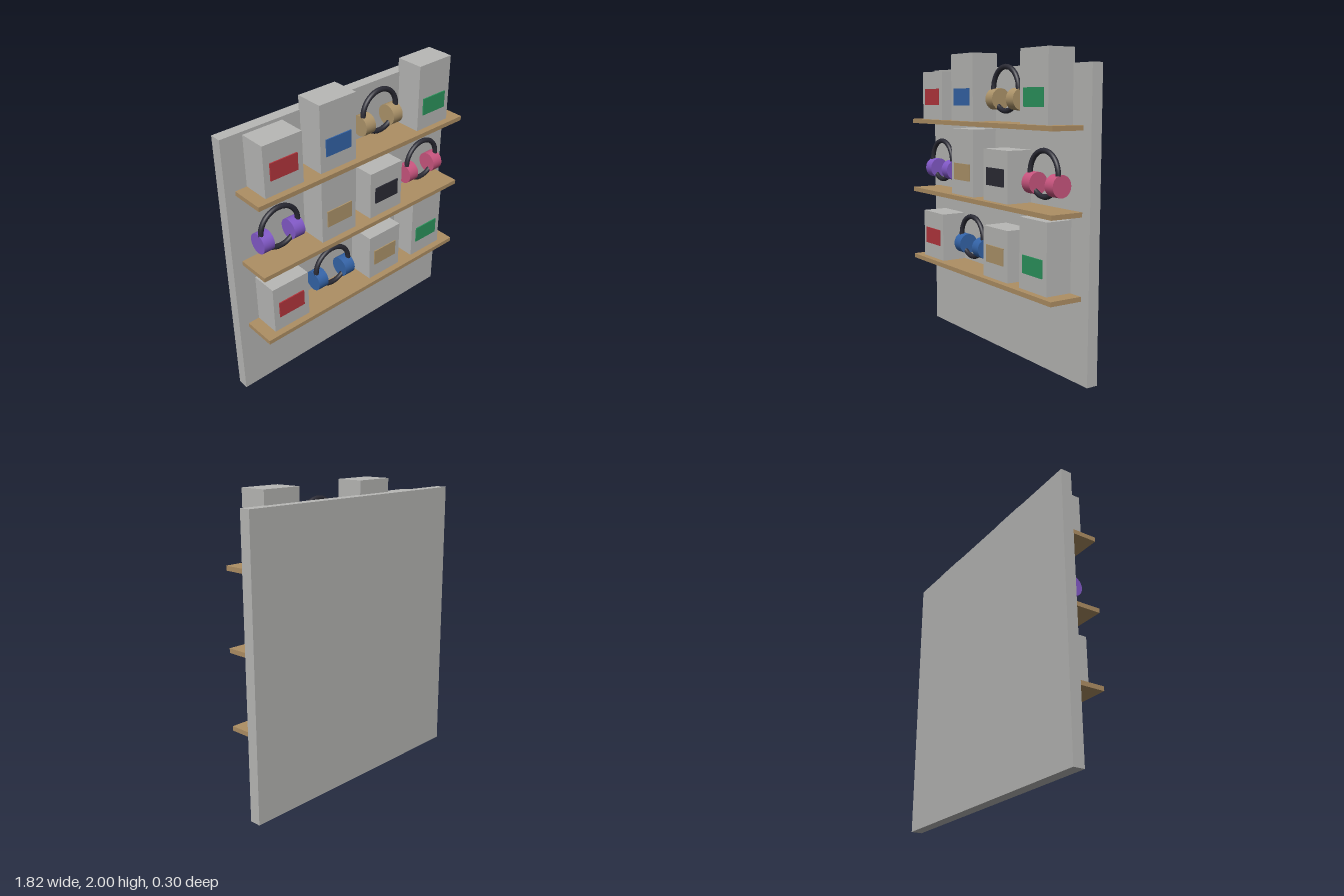
import * as THREE from 'three';

const mat = (name, color) => {
  const m = new THREE.MeshStandardMaterial({ color });
  m.name = name;
  return m;
};

export function createModel() {
  const M = {
    grey: mat('light grey', 0xb8b8b6),
    wood: mat('shelf wood', 0xae8f64),
    tan: mat('tan', 0xae956b),
    red: mat('red', 0xb5363d),
    blue: mat('blue', 0x3464a8),
    green: mat('green', 0x2c955d),
    dark: mat('charcoal', 0x2b2b35),
    purple: mat('purple', 0x8259c8),
    pink: mat('pink', 0xc9557f),
  };
  const root = new THREE.Group();
  root.name = 'headphoneDisplay';

  const add = (parent, name, geometry, material, x, y, z) => {
    const mesh = new THREE.Mesh(geometry, material);
    mesh.name = name;
    mesh.position.set(x, y, z);
    parent.add(mesh);
    return mesh;
  };

  // Wall panel behind the shelves
  add(root, 'backPanel', new THREE.BoxGeometry(1.82, 1.91, 0.076), M.grey, 0, 0.955, -0.113);

  // Headphones: full ring with an ear cup on each side
  const ringGeo = new THREE.TorusGeometry(0.139, 0.017, 10, 40);
  const cupGeo = new THREE.CylinderGeometry(0.069, 0.069, 0.078, 28).rotateZ(Math.PI / 2);
  const addHeadphones = (parent, x, color) => {
    const g = new THREE.Group();
    g.name = 'headphones';
    g.position.set(x, 0, 0);
    add(g, 'headband', ringGeo, M.dark, 0, 0.211, 0.027);
    for (const s of [-1, 1]) add(g, s > 0 ? 'leftCup' : 'rightCup', cupGeo, M[color], s * 0.116, 0.147, 0.011);
    parent.add(g);
  };

  // Product carton with a thin coloured label
  const labelGeo = new THREE.BoxGeometry(0.196, 0.114, 0.009);
  const addCarton = (parent, x, color, height) => {
    const g = new THREE.Group();
    g.name = 'carton';
    g.position.set(x, 0, 0);
    add(g, 'cartonBody', new THREE.BoxGeometry(0.278, height, 0.19), M.grey, 0, height / 2, 0.011);
    add(g, 'cartonLabel', labelGeo, M[color], 0, 0.16, 0.1095);
    parent.add(g);
  };

  // Each row: shelf top height, then [colour, carton height] or [colour] for headphones
  const rows = [
    [0.543, [['red', 0.337], ['blue'], ['tan', 0.337], ['green', 0.447]]],
    [1.048, [['purple'], ['tan', 0.452], ['dark', 0.335], ['pink']]],
    [1.553, [['red', 0.337], ['blue', 0.447], ['tan'], ['green', 0.447]]],
  ];
  const slots = [-0.62, -0.212, 0.195, 0.602];
  const shelfGeo = new THREE.BoxGeometry(1.68, 0.03, 0.226);
  for (const [top, items] of rows) {
    const row = new THREE.Group();
    row.name = 'shelfRow';
    row.position.y = top;
    add(row, 'shelf', shelfGeo, M.wood, 0, -0.015, 0.038);
    items.forEach(([color, height], i) => {
      if (height) addCarton(row, slots[i], color, height);
      else addHeadphones(row, slots[i], color);
    });
    root.add(row);
  }
  return root;
}
